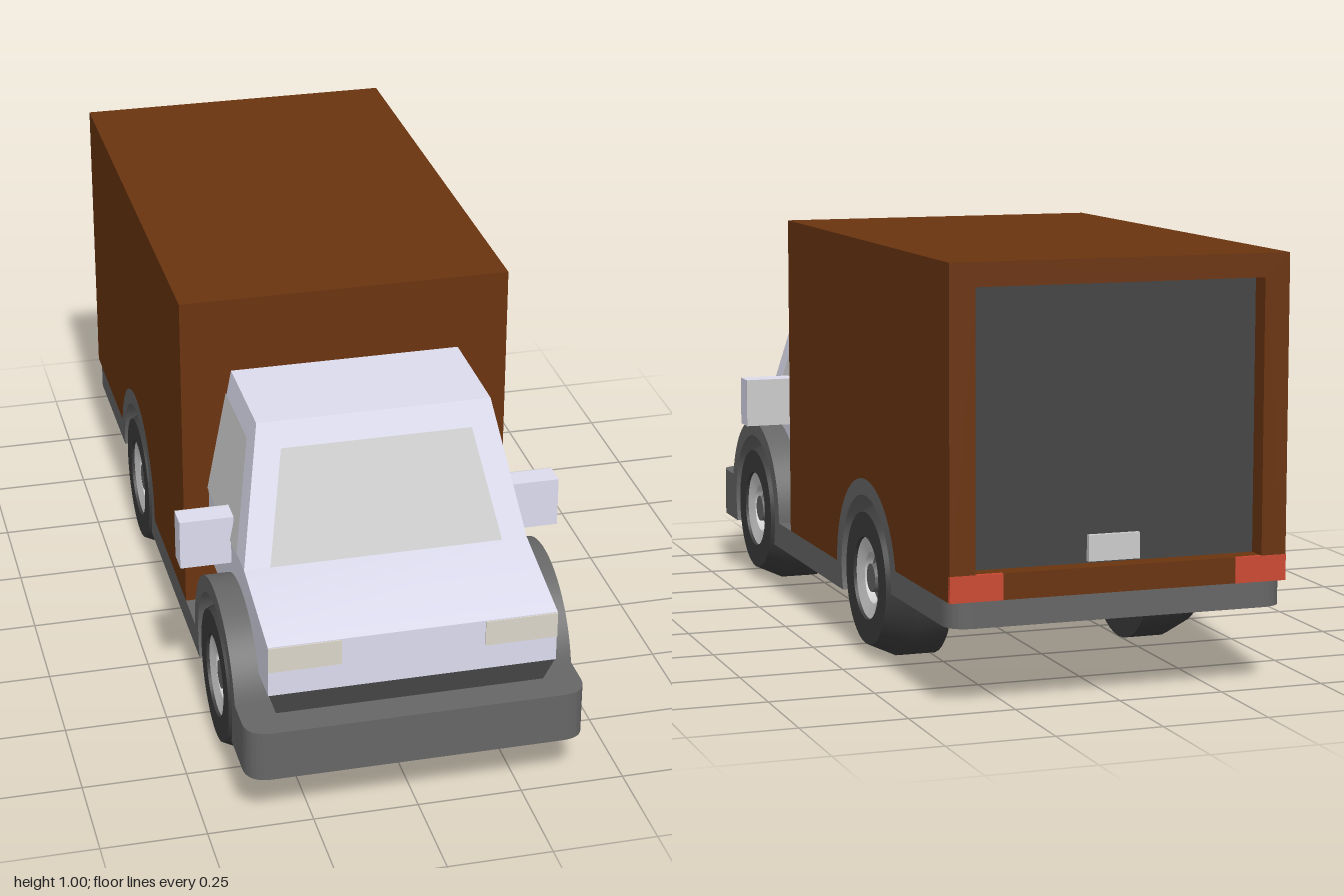
import * as THREE from 'three';
import { toCreasedNormals } from 'three/addons/utils/BufferGeometryUtils.js';

const mat = (color, side = THREE.FrontSide) => new THREE.MeshStandardMaterial({ color, side });
const BROWN = mat(0x6b3410), PAINT = mat(0xdcdcee), CHASSIS = mat(0x666666), DARK = mat(0x505050);
const DOOR = mat(0x444444), TYRE = mat(0x3c3c3c), RIM = mat(0xcccccc), HUB = mat(0x666666);
const GLASS = mat(0xc4c4c2, THREE.DoubleSide), LAMP = mat(0xdcd6ca), RED = mat(0xcc4a33);

const W = 0.405, FRONT = 0.635, REAR = -0.38, AXLE = 0.19, ARCH = 0.24, WELL = 0.2;
const TIP = Math.asin(0.06 / ARCH), CUT = Math.asin(0.065 / WELL);

export function createModel() {
  const model = new THREE.Group();
  const add = (name, geometry, material, parent = model) => {
    const mesh = new THREE.Mesh(geometry, material);
    mesh.name = name;
    parent.add(mesh);
    return mesh;
  };
  const box = (name, x0, x1, y0, y1, z0, z1, material) =>
    add(name, new THREE.BoxGeometry(x1 - x0, y1 - y0, z1 - z0), material)
      .position.set((x0 + x1) / 2, (y0 + y1) / 2, (z0 + z1) / 2);
  const extrude = (shape, depth) =>
    new THREE.ExtrudeGeometry(shape, { depth, bevelEnabled: false, curveSegments: 24 });
  // side profile drawn in (z, y), extruded from x0 to x1
  const fromSide = (shape, x0, x1) =>
    toCreasedNormals(extrude(shape, x1 - x0).rotateY(-Math.PI / 2).translate(x1, 0, 0), 0.5);
  // plan drawn in (x, z), extruded from y0 to y1
  const fromAbove = (shape, y0, y1) =>
    toCreasedNormals(extrude(shape, y1 - y0).rotateX(Math.PI / 2).translate(0, y1, 0), 0.5);
  const polygon = (points) => new THREE.Shape(points.map(([a, b]) => new THREE.Vector2(a, b)));
  // box with different bottom and top rectangles: [half width, back z, front z, y]
  const taperedBox = (bottom, top) => {
    const g = new THREE.BoxGeometry(2, 2, 2), p = g.attributes.position;
    for (let i = 0; i < p.count; i++) {
      const [w, zb, zf, y] = p.getY(i) > 0 ? top : bottom;
      p.setXYZ(i, p.getX(i) * w, y, p.getZ(i) > 0 ? zf : zb);
    }
    g.computeVertexNormals();
    return g;
  };
  const quad = (a, b, c, d) => {
    const g = new THREE.BufferGeometry();
    g.setAttribute('position', new THREE.Float32BufferAttribute([...a, ...b, ...c, ...d], 3));
    g.setIndex([0, 1, 2, 0, 2, 3]);
    g.computeVertexNormals();
    return g;
  };

  // cargo box with rear wheel arches cut out of its lower edge
  const cargo = new THREE.Shape();
  cargo.moveTo(0.28, 1).lineTo(-0.945, 1).lineTo(-0.945, 0.25);
  cargo.absarc(REAR, AXLE, ARCH, Math.PI - TIP, 0, true);
  cargo.lineTo(0.28, AXLE);
  add('cargoBox', fromSide(cargo, -W, W), BROWN);

  // rear frame around the recessed door
  const frame = polygon([[-W, 0.25], [W, 0.25], [W, 1], [-W, 1]]);
  frame.holes.push(polygon([[-0.345, 0.31], [-0.345, 0.945], [0.345, 0.945], [0.345, 0.31]]));
  add('rearFrame', extrude(frame, 0.055).translate(0, 0, -1), BROWN);
  box('rearDoor', -0.345, 0.345, 0.31, 0.945, -0.949, -0.94, DOOR);
  box('doorHandle', -0.062, 0.062, 0.315, 0.375, -0.962, -0.945, RIM);

  // bumpers with rounded corners
  const bumper = (inner, end) => {
    const s = new THREE.Shape(), k = W - 0.06, e = end - Math.sign(end) * 0.06;
    s.moveTo(-W, inner).lineTo(-W, e).quadraticCurveTo(-W, end, -k, end);
    s.lineTo(k, end).quadraticCurveTo(W, end, W, e).lineTo(W, inner);
    return s;
  };
  add('frontBumper', fromAbove(bumper(0.865, 1), 0.125, 0.25), CHASSIS);
  add('rearBumper', fromAbove(bumper(-0.6, -1), AXLE, 0.25), CHASSIS);
  box('chassis', -0.25, 0.25, 0.125, 0.25, -0.56, 0.87, CHASSIS);
  box('chassisRear', -0.25, 0.25, AXLE, 0.25, -0.62, -0.55, CHASSIS);

  // side rails with the arches over both wheels
  const rail = new THREE.Shape();
  rail.moveTo(0.87, 0.125).lineTo(0.87, 0.25);
  rail.absarc(FRONT, AXLE, ARCH, TIP, Math.PI, false);
  rail.absarc(REAR, AXLE, ARCH, 0, Math.PI - TIP, false);
  rail.lineTo(-0.62, 0.25).lineTo(-0.62, AXLE);
  rail.absarc(REAR, AXLE, WELL, Math.PI, -CUT, true);
  rail.absarc(FRONT, AXLE, WELL, Math.PI + CUT, -CUT, true);
  add('leftRail', fromSide(rail, 0.25, W), CHASSIS);
  add('rightRail', fromSide(rail, -W, -0.25), CHASSIS);

  // cab: dark base, hood and lower body, tapered upper part
  add('cabBase', taperedBox([0.3, 0.28, 0.9, AXLE], [0.34, 0.28, 0.94, 0.312]), DARK);
  const hood = polygon([[0.94, 0.312], [0.94, 0.44], [0.69, 0.5], [0.28, 0.5], [0.28, 0.312]]);
  add('cabLower', fromSide(hood, -0.342, 0.342), PAINT);
  add('cabUpper', taperedBox([0.342, 0.28, 0.69, 0.5], [0.282, 0.28, 0.562, 0.813]), PAINT);
  add('windshield', quad([-0.28, 0.502, 0.693], [0.28, 0.502, 0.693],
    [0.23, 0.755, 0.589], [-0.23, 0.755, 0.589]), GLASS);

  // lathe profiles: radius, distance from the centre line
  const lathe = (points) => toCreasedNormals(
    new THREE.LatheGeometry(points.map(([r, y]) => new THREE.Vector2(r, y)), 40), 0.4);
  const tyre = lathe([[0, 0.25], [0.19, 0.25], [0.19, 0.34], [0.16, W], [0.1, W], [0.098, 0.395]]);
  const rim = lathe([[0.1, 0.398], [0.062, 0.388], [0.058, 0.365]]);
  const hub = lathe([[0.06, 0.37], [0.036, 0.37], [0.034, 0.392], [0, 0.392]]);

  for (const [side, s] of [['left', 1], ['right', -1]]) {
    const span = (a, b) => (s > 0 ? [a, b] : [-b, -a]);
    add(side + 'Window', quad([s * 0.345, 0.502, 0.62], [s * 0.345, 0.502, 0.28],
      [s * 0.296, 0.755, 0.28], [s * 0.296, 0.755, 0.52]), GLASS);
    box(side + 'Headlight', ...span(0.17, 0.342), 0.375, 0.438, 0.93, 0.943, LAMP);
    box(side + 'TailLight', ...span(0.28, W), 0.25, 0.31, -1.002, -0.99, RED);
    box(side + 'Mirror', ...span(0.335, 0.465), 0.44, 0.563, 0.486, 0.545, PAINT);
    box(side + 'MirrorGlass', ...span(0.335, 0.465), 0.44, 0.563, 0.483, 0.486, GLASS);
    for (const [end, z] of [['Front', FRONT], ['Rear', REAR]]) {
      const wheel = new THREE.Group();
      wheel.name = side + end + 'Wheel';
      wheel.position.set(0, AXLE, z);
      wheel.rotation.z = -s * Math.PI / 2;
      add('tyre', tyre, TYRE, wheel);
      add('rim', rim, RIM, wheel);
      add('hub', hub, HUB, wheel);
      model.add(wheel);
    }
  }
  return model;
}
